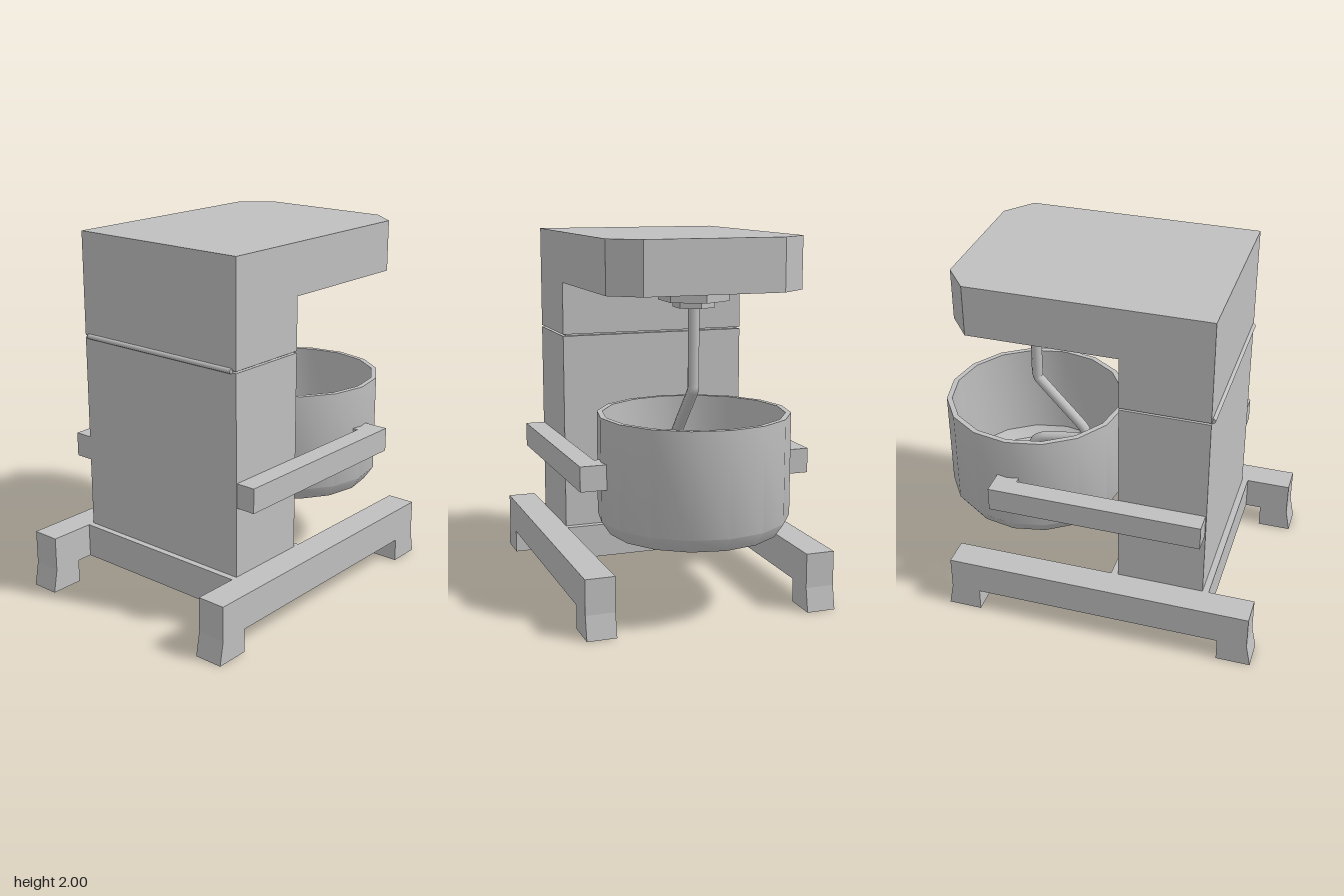
import * as THREE from 'three';
import { toCreasedNormals } from 'three/addons/utils/BufferGeometryUtils.js';

export function createModel() {
  const group = new THREE.Group();
  const grey = new THREE.MeshStandardMaterial({ color: 0xc0c0c0 });
  grey.name = 'grey';

  const add = (name, geometry) => {
    const mesh = new THREE.Mesh(geometry, grey);
    mesh.name = name;
    group.add(mesh);
    return mesh;
  };
  // box given by its limits on each axis
  const box = (name, x0, x1, y0, y1, z0, z1) =>
    add(name, new THREE.BoxGeometry(x1 - x0, y1 - y0, z1 - z0))
      .position.set((x0 + x1) / 2, (y0 + y1) / 2, (z0 + z1) / 2);
  const shapeOf = (pts) => new THREE.Shape(pts.map(([x, y]) => new THREE.Vector2(x, y)));

  // column with a narrow recessed seam below the head
  box('column', -0.535, 0.535, 0.3, 1.42, 0.18, 0.665);
  box('seamCore', -0.515, 0.515, 1.415, 1.435, 0.2, 0.645);
  box('headBack', -0.535, 0.535, 1.43, 1.72, 0.18, 0.665);

  // overhanging head with cut corners
  const headShape = shapeOf([
    [-0.535, 0.665], [-0.535, -0.64], [-0.38, -0.765],
    [0.38, -0.765], [0.535, -0.64], [0.535, 0.665],
  ]);
  const head = new THREE.ExtrudeGeometry(headShape, { depth: 0.28, bevelEnabled: false });
  head.rotateX(Math.PI / 2);
  add('head', head).position.y = 2;

  // hinge rod along the seam
  const hinge = new THREE.CylinderGeometry(0.014, 0.014, 1.015, 10);
  hinge.rotateZ(Math.PI / 2);
  add('hingeRod', hinge).position.set(0, 1.428, 0.668);

  // base plate, side rails with flared feet, and bowl arms
  box('basePlate', -0.535, 0.535, 0.13, 0.32, 0.14, 0.7);
  const railShape = shapeOf([
    [-0.98, 0], [-0.79, 0], [-0.79, 0.13], [0.6, 0.13], [0.6, 0],
    [0.79, 0], [0.765, 0.13], [0.765, 0.32], [-0.955, 0.32], [-0.955, 0.13],
  ]);
  const rail = new THREE.ExtrudeGeometry(railShape, { depth: 0.16, bevelEnabled: false });
  rail.rotateY(Math.PI / 2);
  for (const [side, s] of [['left', 1], ['right', -1]]) {
    add(side + 'Rail', rail).position.x = s > 0 ? 0.535 : -0.695;
    const span = (a, b) => (s > 0 ? [a, b] : [-b, -a]);
    box(side + 'BowlArm', ...span(0.535, 0.645), 0.705, 0.84, -0.525, 0.66);
    box(side + 'BowlLug', ...span(0.49, 0.535), 0.705, 0.84, -0.525, -0.4);
  }

  // hollow sixteen-sided bowl
  const profile = [
    [0, 0.445], [0.465, 0.445], [0.515, 0.52], [0.515, 1.075],
    [0.485, 1.075], [0.485, 0.53], [0.44, 0.475], [0, 0.475],
  ].map(([r, y]) => new THREE.Vector2(r, y));
  const bowl = toCreasedNormals(new THREE.LatheGeometry(profile, 16), 0.62);
  add('bowl', bowl).position.z = -0.463;

  // hexagonal drive collars under the head
  const collar = (name, r, y0, y1) => {
    const g = toCreasedNormals(new THREE.CylinderGeometry(r, r, y1 - y0, 6), 0.3);
    add(name, g).position.set(0, (y0 + y1) / 2, -0.457);
  };
  collar('upperCollar', 0.188, 1.665, 1.72);
  collar('lowerCollar', 0.113, 1.63, 1.665);

  // shaft bending into the dough hook
  const path = new THREE.CatmullRomCurve3([
    [1.64, -0.457], [1.22, -0.457], [1.18, -0.445], [0.91, -0.2], [0.86, -0.175],
    [0.82, -0.21], [0.78, -0.43], [0.74, -0.49], [0.62, -0.53],
  ].map(([y, z]) => new THREE.Vector3(0, y, z)), false, 'catmullrom', 0.25);
  add('doughHook', new THREE.TubeGeometry(path, 60, 0.031, 10));
  add('hookTip', new THREE.SphereGeometry(0.031, 10, 6)).position.set(0, 0.62, -0.53);

  return group;
}
